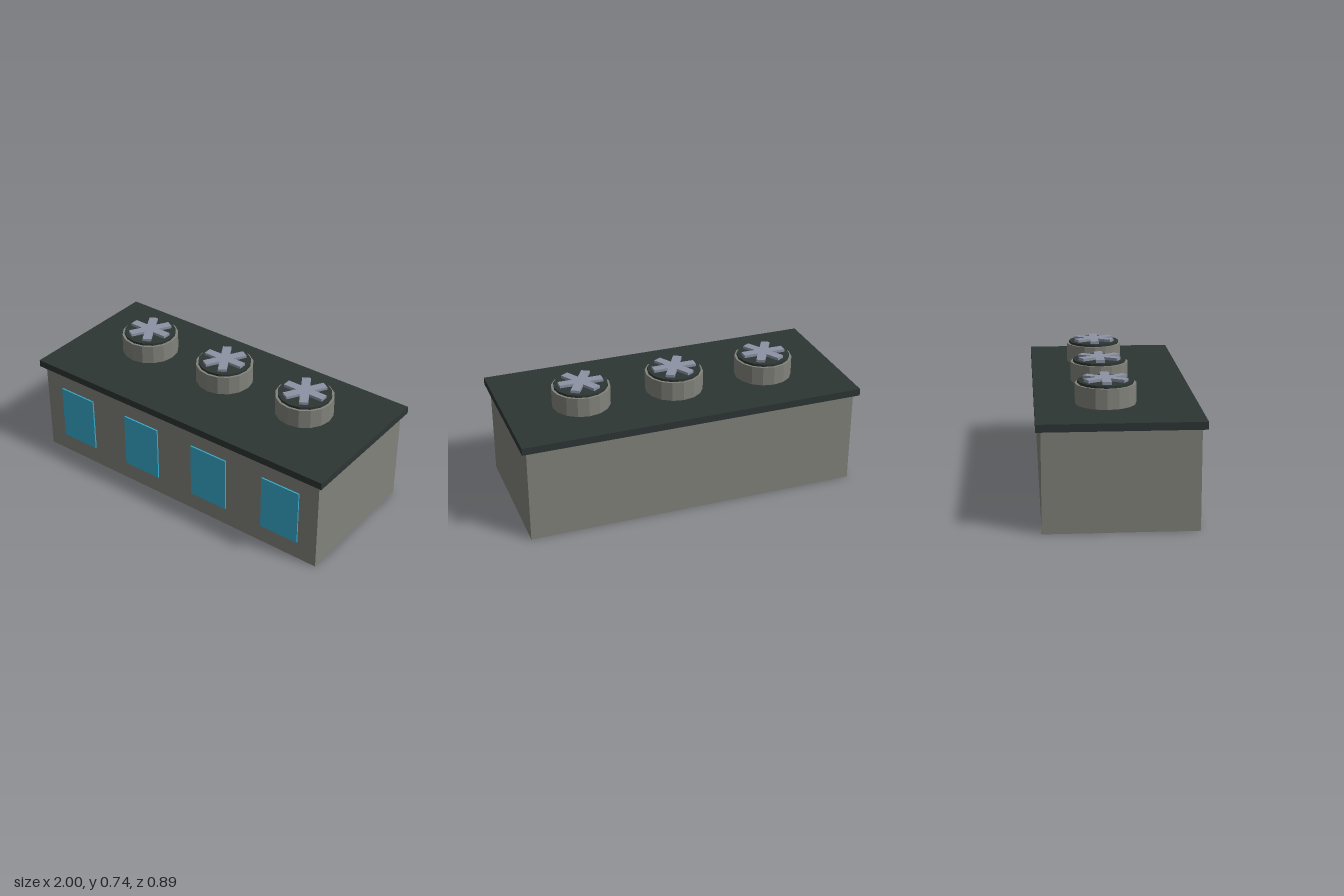
import * as THREE from 'three';

const wall = new THREE.MeshStandardMaterial({ color: 0x82827b, name: 'wall grey', flatShading: true });
const dark = new THREE.MeshStandardMaterial({ color: 0x2d3634, name: 'dark roof', flatShading: true });
const glass = new THREE.MeshStandardMaterial({ color: 0x36abcd, name: 'blue glass', flatShading: true });
const metal = new THREE.MeshStandardMaterial({ color: 0x8d93a5, name: 'blade metal', flatShading: true });

function add(parent, name, geometry, material, x = 0, y = 0, z = 0) {
  const mesh = new THREE.Mesh(geometry, material);
  mesh.name = name;
  mesh.position.set(x, y, z);
  parent.add(mesh);
  return mesh;
}

// Box standing on its local y = 0
const box = (w, h, d) => new THREE.BoxGeometry(w, h, d).translate(0, h / 2, 0);
// Low-poly drum standing on its local y = 0
const drum = (r, h) => new THREE.CylinderGeometry(r, r, h, 16).translate(0, h / 2, 0);

// Rooftop fan: housing, dark grille cap and three crossed bars
function createFan() {
  const fan = new THREE.Group();
  fan.name = 'roofFan';
  add(fan, 'fanHousing', drum(0.167, 0.112), wall);
  add(fan, 'fanCap', drum(0.153, 0.014), dark, 0, 0.112);
  for (let i = 0; i < 3; i++) {
    add(fan, 'fanBlade', box(0.252, 0.016, 0.05), metal, 0, 0.127).rotation.y = i * Math.PI / 3;
  }
  return fan;
}

export function createModel() {
  const model = new THREE.Group();
  model.name = 'ventilatedBuilding';

  // Main block and overhanging roof slab
  add(model, 'body', box(1.944, 0.556, 0.834), wall);
  add(model, 'roof', box(2, 0.042, 0.888), dark, 0, 0.556);

  // Row of thin window panels on the front
  for (let i = 0; i < 4; i++) {
    add(model, 'window', box(0.243, 0.333, 0.009), glass, (i - 1.5) * 0.486, 0.112, 0.4215);
  }

  // Three fans along the roof
  for (const x of [-0.556, 0, 0.556]) {
    const fan = createFan();
    fan.position.set(x, 0.598, -0.056);
    model.add(fan);
  }
  return model;
}
